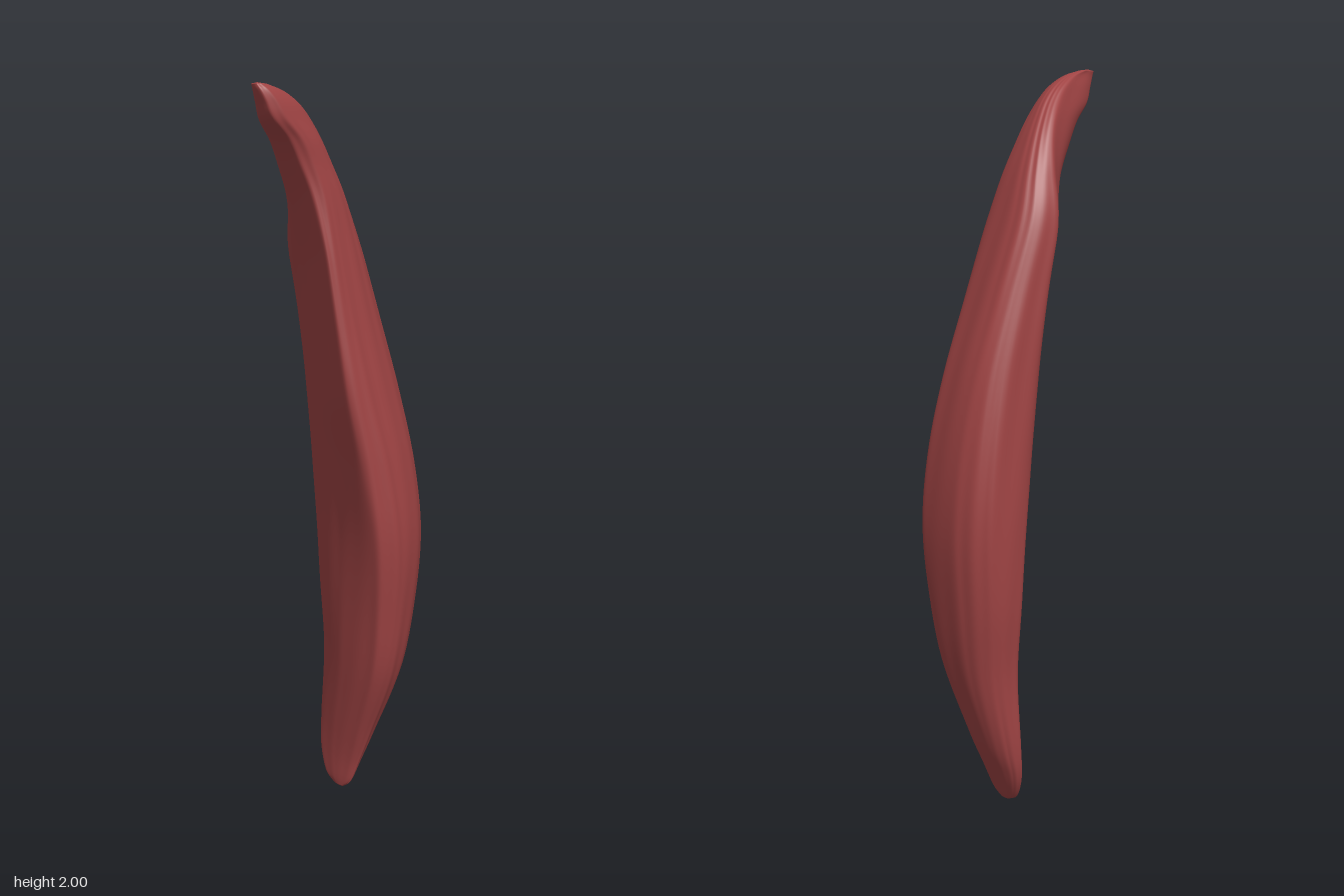
import * as THREE from 'three';

// Height, then left/right and back/front limits of each cross-section
const stations = [
  [0.005, -0.085, -0.04, -0.093, -0.076], [0.03, -0.122, -0.012, -0.108, -0.073],
  [0.1, -0.155, 0.017, -0.14, -0.07], [0.2, -0.167, 0.06, -0.18, -0.058],
  [0.4, -0.168, 0.145, -0.235, -0.03], [0.6, -0.188, 0.182, -0.27, -0.01],
  [0.8, -0.195, 0.198, -0.287, 0.015], [1.0, -0.195, 0.181, -0.276, 0.045],
  [1.2, -0.196, 0.148, -0.24, 0.08], [1.4, -0.199, 0.114, -0.18, 0.1],
  [1.6, -0.196, 0.087, -0.11, 0.12], [1.72, -0.168, 0.072, -0.062, 0.14],
  [1.8, -0.14, 0.06, -0.02, 0.17], [1.86, -0.115, 0.054, 0.02, 0.205],
  [1.91, -0.09, 0.046, 0.062, 0.255], [1.95, -0.07, 0.037, 0.11, 0.274],
  [1.98, -0.05, 0.024, 0.17, 0.286], [1.996, -0.038, 0.008, 0.23, 0.288],
];

// Outline inside those limits (0..1), from the front left edge round the back
const outlines = [
  { y: 0.35, p: [[.01, .5], [.05, .16], [.26, 0], [.67, .09], [.92, .42], [1, .8], [.88, 1], [.45, .9]] },
  { y: 0.9, p: [[.01, .53], [.04, .13], [.25, 0], [.67, .09], [.93, .41], [1, .79], [.89, 1], [.45, .82]] },
  { y: 1.55, p: [[.02, .43], [.08, .1], [.28, 0], [.73, .13], [.96, .48], [1, .84], [.94, 1], [.42, .74]] },
  { y: 1.9, p: [[.02, .17], [.12, .03], [.3, 0], [.63, .12], [.91, .43], [1, .78], [.83, 1], [.32, .88]] },
];

function outlineAt(y) {
  let i = 0;
  while (i < outlines.length - 2 && y > outlines[i + 1].y) i++;
  const a = outlines[i], b = outlines[i + 1];
  const t = THREE.MathUtils.smoothstep(y, a.y, b.y);
  const pts = a.p.map(([u, w], k) => new THREE.Vector3(
    THREE.MathUtils.lerp(u, b.p[k][0], t), 0, THREE.MathUtils.lerp(w, b.p[k][1], t)));
  return new THREE.CatmullRomCurve3(pts, true, 'catmullrom', 0.38);
}

function muscleGeometry(rings = 110, sides = 96) {
  const low = new THREE.CatmullRomCurve3(
    stations.map(([y, x0, , z0]) => new THREE.Vector3(x0, y, z0)), false, 'catmullrom');
  const high = new THREE.CatmullRomCurve3(
    stations.map(([y, , x1, , z1]) => new THREE.Vector3(x1, y, z1)), false, 'catmullrom');
  const pos = [], index = [];

  for (let i = 0; i <= rings; i++) {
    const a = low.getPoint(i / rings), b = high.getPoint(i / rings);
    const outline = outlineAt(a.y);
    for (let j = 0; j < sides; j++) {
      const q = outline.getPoint(j / sides);
      // Shallow lengthwise fibre grooves, gently twisting
      const angle = (j / sides) * Math.PI * 2;
      const groove = 1 + 0.014 * Math.sin(13 * angle + 2.5 * a.y) * Math.sin(2 * angle + 3 * a.y);
      const u = 0.5 + (q.x - 0.5) * groove, w = 0.5 + (q.z - 0.5) * groove;
      pos.push(a.x + (b.x - a.x) * u, a.y, a.z + (b.z - a.z) * w);
    }
  }

  for (let i = 0; i < rings; i++) {
    for (let j = 0; j < sides; j++) {
      const p = i * sides + j, q = i * sides + (j + 1) % sides;
      index.push(p, p + sides, q, q, p + sides, q + sides);
    }
  }

  // Rounded closing points at the bottom and at the tip
  const bottom = pos.length / 3, top = bottom + 1, last = rings * sides;
  pos.push(-0.06, 0, -0.084, -0.018, 2, 0.265);
  for (let j = 0; j < sides; j++) {
    const k = (j + 1) % sides;
    index.push(bottom, j, k, last + j, top, last + k);
  }

  const geometry = new THREE.BufferGeometry();
  geometry.setAttribute('position', new THREE.Float32BufferAttribute(pos, 3));
  geometry.setIndex(index);
  geometry.computeVertexNormals();
  return geometry;
}

export function createModel() {
  const group = new THREE.Group();
  group.name = 'muscle';
  const belly = new THREE.Mesh(muscleGeometry(), new THREE.MeshStandardMaterial({ color: 0xa04444 }));
  belly.name = 'muscleBelly';
  group.add(belly);
  return group;
}
